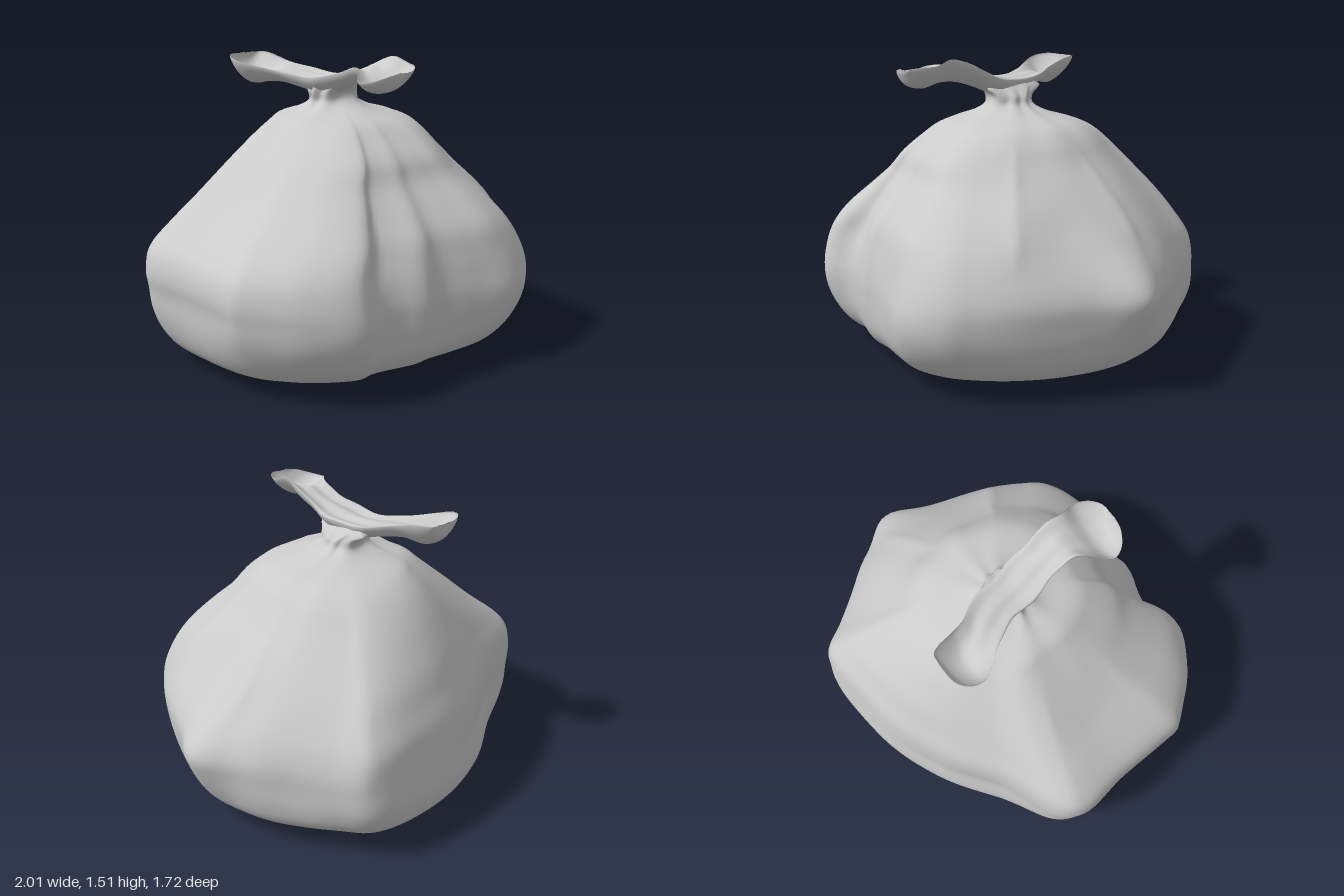
import * as THREE from 'three';

const smooth = THREE.MathUtils.smoothstep;
const material = new THREE.MeshStandardMaterial({ color: 0xcccccc, side: THREE.DoubleSide });

// Skin a list of closed rings (arrays of Vector3 of equal length) with smooth normals
function loft(rings, name) {
  const n = rings[0].length, index = [];
  for (let r = 0; r < rings.length - 1; r++) {
    for (let i = 0; i < n; i++) {
      const a = r * n + i, b = r * n + (i + 1) % n;
      index.push(a, a + n, b, b, a + n, b + n);
    }
  }
  const geometry = new THREE.BufferGeometry().setFromPoints(rings.flat());
  geometry.setIndex(index);
  geometry.computeVertexNormals();
  const mesh = new THREE.Mesh(geometry, material);
  mesh.name = name;
  return mesh;
}

// Smoothly interpolated rows of numbers, u from 0 to 1
function rowSampler(rows) {
  return (u) => {
    const f = u * (rows.length - 1), k = Math.min(Math.floor(f), rows.length - 2), t = f - k;
    const at = (j) => rows[THREE.MathUtils.clamp(j, 0, rows.length - 1)];
    return rows[0].map((_, c) => {
      const p0 = at(k - 1)[c], p1 = at(k)[c], p2 = at(k + 1)[c], p3 = at(k + 2)[c];
      const m1 = (p2 - p0) / 2, m2 = (p3 - p1) / 2;
      return (2 * t ** 3 - 3 * t * t + 1) * p1 + (t ** 3 - 2 * t * t + t) * m1
        + (3 * t * t - 2 * t ** 3) * p2 + (t ** 3 - t * t) * m2;
    });
  };
}

// Lumpy plan outline of the full sack (x, z)
const outline = [
  [-1, -0.22], [-0.93, -0.34], [-0.62, -0.47], [-0.33, -0.66], [-0.03, -0.8], [0.34, -0.86],
  [0.51, -0.82], [0.62, -0.68], [0.84, -0.4], [0.9, -0.25], [0.94, -0.09], [0.92, 0.13],
  [0.82, 0.45], [0.72, 0.64], [0.63, 0.76], [0.43, 0.86], [0.2, 0.82], [0, 0.78],
  [-0.1, 0.805], [-0.25, 0.77], [-0.37, 0.77], [-0.5, 0.83], [-0.72, 0.71], [-0.85, 0.57],
  [-0.93, 0.44], [-0.97, 0.05],
];

// Sack profile: height, then reach to -x, +x, -z, +z
const profile = [
  [0.018, 0.001, 0.001, 0.001, 0.001], [0.016, 0.25, 0.22, 0.25, 0.25], [0.01, 0.48, 0.42, 0.46, 0.45],
  [0.03, 0.69, 0.61, 0.6, 0.58], [0.09, 0.86, 0.79, 0.73, 0.74], [0.17, 0.93, 0.9, 0.83, 0.82],
  [0.28, 0.97, 0.96, 0.86, 0.86], [0.4, 0.985, 0.985, 0.85, 0.87], [0.5, 1, 0.985, 0.835, 0.855],
  [0.61, 0.97, 0.93, 0.81, 0.825], [0.72, 0.86, 0.84, 0.75, 0.78], [0.83, 0.73, 0.725, 0.69, 0.69],
  [0.94, 0.61, 0.61, 0.61, 0.59], [1.04, 0.5, 0.51, 0.53, 0.53], [1.13, 0.4, 0.435, 0.44, 0.43],
  [1.19, 0.33, 0.35, 0.34, 0.34], [1.235, 0.21, 0.19, 0.19, 0.2], [1.275, 0.15, 0.1, 0.11, 0.13],
  [1.32, 0.15, 0.075, 0.11, 0.12], [1.36, 0.14, 0.03, 0.16, 0.15], [1.385, 0.1, 0, 0.12, 0.1],
];

// Soft bulges and dimples: x, y, z, radius, radial push
const dents = [
  [-0.3, 0.72, 0.72, 0.15, -0.03], [-0.1, 0.68, 0.76, 0.2, 0.015], [0.4, 0.62, 0.8, 0.13, -0.02],
  [0.94, 0.49, -0.09, 0.15, 0.085], [0.72, 0.7, 0.2, 0.16, -0.025], [0.6, 0.85, 0.33, 0.15, 0.025],
  [-0.6, 0.85, 0.1, 0.22, -0.025], [0.2, 0.5, -0.82, 0.2, -0.02], [-0.4, 0.55, -0.55, 0.22, 0.02],
  [0.75, 0.4, -0.5, 0.18, -0.02], [0.35, 0.95, 0.4, 0.14, -0.02], [0.6, 0.9, -0.2, 0.15, 0.02],
];

// Sharp creases running down from the neck: direction x, z, lowest and highest y, angular width, push
const creases = [
  [0.75, 0.45, 0.6, 1.2, 0.06, 0.035], [0.93, -0.22, 0.6, 1.15, 0.07, 0.035],
  [-0.93, 0.44, 0.2, 1.1, 0.06, 0.02], [-0.98, -0.25, 0.5, 1.15, 0.07, 0.02],
  [0.5, -0.82, 0.4, 1.15, 0.08, 0.02], [-0.35, 0.77, 0.5, 1, 0.06, -0.025],
];

function buildSack() {
  const curve = new THREE.CatmullRomCurve3(outline.map(([x, z]) => new THREE.Vector3(x, 0, z / 0.86)), true, 'centripetal');
  const plan = curve.getSpacedPoints(180).slice(0, 180);
  const sample = rowSampler(profile);
  const rings = [];
  for (let r = 0; r <= 80; r++) {
    const [y, xn, xp, zn, zp] = sample(r / 80);
    // angular at mid height, rounder towards base and neck
    const round = Math.max(0.6 * (1 - smooth(y, 0, 0.4)), 0.5 * smooth(y, 0.6, 1.15) + 0.5 * smooth(y, 1.15, 1.27));
    const pleat = smooth(y, 0.85, 1.2), twist = smooth(y, 1.15, 1.35);
    rings.push(plan.map((p) => {
      const angle = Math.atan2(p.z, p.x);
      const x = THREE.MathUtils.lerp(p.x, Math.cos(angle), round);
      const z = THREE.MathUtils.lerp(p.z, Math.sin(angle), round);
      // gathered pleats that wind up around the neck
      const fold = Math.cos(7 * angle + 2 * Math.sin(2 * angle) + 4 * twist);
      let k = 1 + fold * pleat * (0.012 + 0.06 * twist);
      const v = new THREE.Vector3(x * (x < 0 ? xn : xp), y, z * (z < 0 ? zn : zp));
      for (const [dx, dy, dz, radius, push] of dents) {
        const d2 = (v.x - dx) ** 2 + ((v.y - dy) * 0.7) ** 2 + (v.z - dz) ** 2;
        k += push * Math.exp(-d2 / (radius * radius));
      }
      for (const [dx, dz, low, high, width, push] of creases) {
        const turn = Math.abs(Math.atan2(v.z * dx - v.x * dz, v.x * dx + v.z * dz));
        const fade = smooth(y, low, low + 0.2) * (1 - smooth(y, high - 0.2, high));
        k += push * fade * Math.exp(-turn / width);
      }
      v.x *= k;
      v.z *= k;
      return v;
    }));
  }
  return loft(rings, 'sack');
}

// Tied top: z, centre x, half width, bottom y, top y, hollow on top, sideways tilt
const tie = [
  [-0.488, -0.21, 0.03, 1.47, 1.485, 0.5, 0], [-0.48, -0.22, 0.085, 1.42, 1.485, 0.85, 0],
  [-0.44, -0.235, 0.12, 1.37, 1.485, 0.9, 0], [-0.37, -0.235, 0.128, 1.335, 1.475, 0.85, 0],
  [-0.29, -0.2, 0.125, 1.35, 1.46, 0.65, 0], [-0.2, -0.135, 0.115, 1.345, 1.445, 0.45, 0],
  [-0.1, -0.09, 0.105, 1.32, 1.435, 0.35, 0], [0, -0.075, 0.105, 1.31, 1.435, 0.35, 0],
  [0.1, -0.055, 0.11, 1.33, 1.45, 0.35, 0], [0.2, -0.04, 0.098, 1.37, 1.48, 0.45, 0.01],
  [0.3, -0.035, 0.1, 1.4, 1.52, 0.5, 0.015], [0.38, -0.065, 0.125, 1.4, 1.515, 0.7, 0.025],
  [0.46, -0.085, 0.15, 1.375, 1.475, 0.85, 0.03], [0.53, -0.085, 0.13, 1.39, 1.47, 0.9, 0.025],
  [0.57, -0.075, 0.08, 1.44, 1.475, 0.85, 0.01], [0.58, -0.06, 0.03, 1.465, 1.48, 0.5, 0],
];

function buildTie() {
  const sample = rowSampler(tie), rings = [], sides = 48;
  for (let r = 0; r <= 90; r++) {
    const [z, cx, w, low, high, hollow, tilt] = sample(r / 90);
    const half = (high - low) / 2, ring = [];
    for (let i = 0; i < sides; i++) {
      const a = (i / sides) * Math.PI * 2, c = Math.cos(a), s = Math.sin(a);
      // the upper side sinks into a trough while the rims curl up
      const sink = s > 0 ? s * (1 - 1.8 * hollow) + 0.2 * s * Math.cos(6 * c) * (1 - hollow) : s;
      const y = (low + high) / 2 + half * (sink + hollow * c * c) + tilt * c;
      ring.push(new THREE.Vector3(cx + c * w * (1 + 0.04 * Math.sin(z * 30)), y, z));
    }
    rings.push(ring);
  }
  return loft(rings.reverse(), 'tiedTop');
}

export function createModel() {
  const group = new THREE.Group();
  group.name = 'tiedSack';
  group.add(buildSack(), buildTie());
  return group;
}
